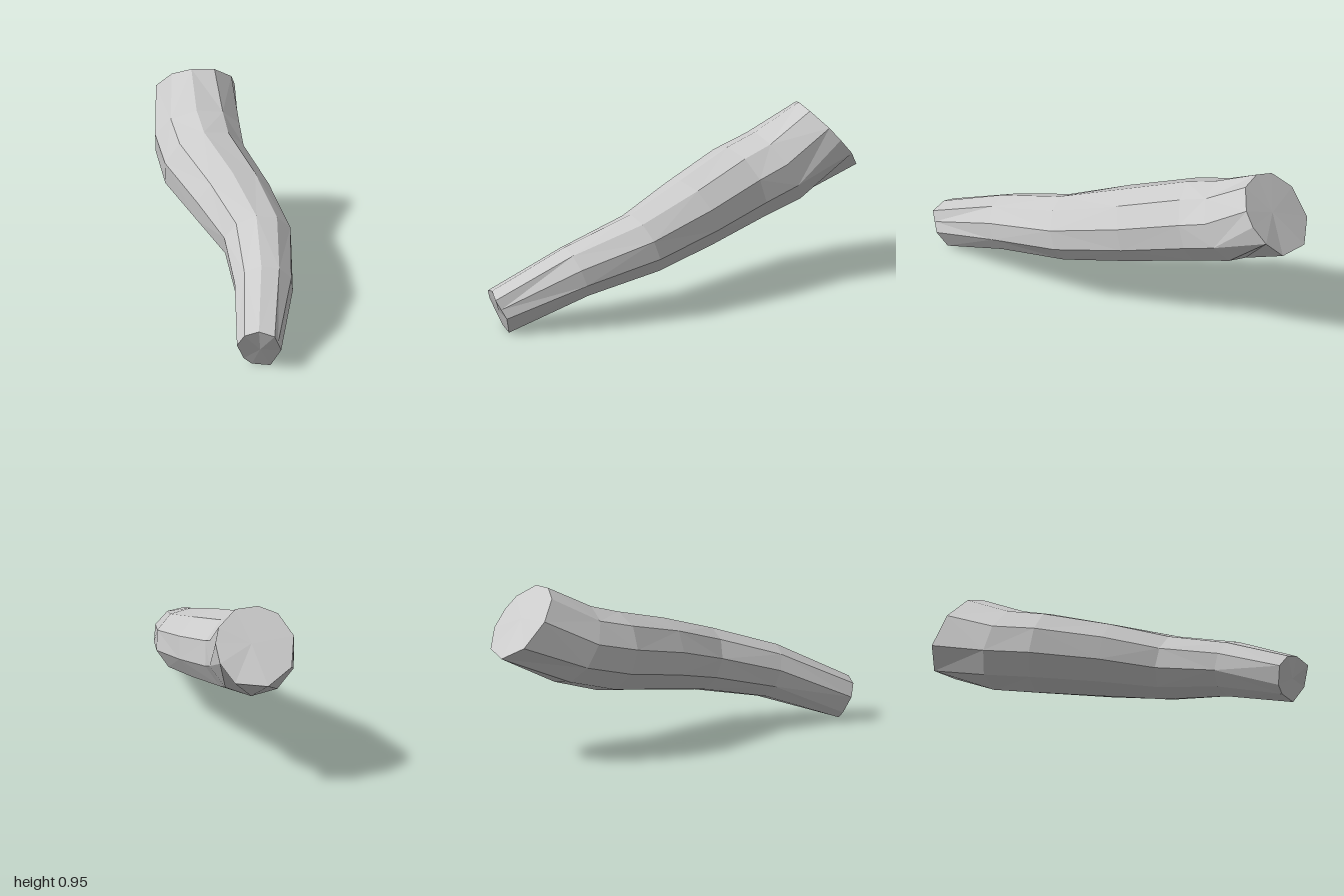
import * as THREE from 'three';

const SIDES = 10;
const v = (p) => new THREE.Vector3(...p);

// Cut ends, listed from the top round towards +x
const narrowEnd = [
  [-0.555, 0.225, 0.94], [-0.495, 0.2, 1.0], [-0.465, 0.15, 0.99], [-0.435, 0.1, 0.98], [-0.46, 0, 0.92],
  [-0.5, 0.005, 0.89], [-0.54, 0.01, 0.86], [-0.58, 0.045, 0.84], [-0.63, 0.135, 0.845], [-0.615, 0.2, 0.89],
].map(v);
const wideEnd = [
  [0.32, 0.955, -0.73], [0.43, 0.945, -0.67], [0.55, 0.87, -0.675], [0.6, 0.8, -0.71], [0.625, 0.71, -0.78],
  [0.595, 0.615, -0.87], [0.46, 0.6, -0.985], [0.31, 0.68, -1.0], [0.23, 0.82, -0.92], [0.25, 0.92, -0.81],
].map(v);

// Stations along the bend: centre, direction, half width, half height
const stations = [
  { c: [-0.25, 0.29, 0.6], t: [0.54, 0.33, -0.77], w: 0.16, h: 0.15 },
  { c: [-0.035, 0.395, 0.28], t: [0.42, 0.3, -0.86], w: 0.19, h: 0.175 },
  { c: [0.06, 0.48, -0.05], t: [0.25, 0.23, -0.94], w: 0.22, h: 0.2 },
  { c: [0.145, 0.56, -0.4], t: [0.3, 0.25, -0.92], w: 0.235, h: 0.22 },
  { c: [0.25, 0.625, -0.59], t: [0.42, 0.45, -0.79], w: 0.24, h: 0.225 },
];

// Elliptical ring set square to the direction of the limb
function ring({ c, t, w, h }) {
  const dir = v(t).normalize();
  const side = new THREE.Vector3().crossVectors(dir, new THREE.Vector3(0, 1, 0)).normalize();
  const up = new THREE.Vector3().crossVectors(side, dir);
  return Array.from({ length: SIDES }, (_, k) => {
    const a = (k / SIDES) * Math.PI * 2 - 0.1;
    return v(c).addScaledVector(side, w * Math.sin(a)).addScaledVector(up, h * Math.cos(a));
  });
}

// Separate corners per triangle keep every facet flat
function facets(points) {
  const g = new THREE.BufferGeometry().setFromPoints(points);
  g.computeVertexNormals();
  return g;
}

function capPoints(loop, flip) {
  const centre = loop.reduce((s, p) => s.add(p), new THREE.Vector3()).divideScalar(loop.length);
  return loop.flatMap((p, k) => {
    const q = loop[(k + 1) % loop.length];
    return flip ? [centre, q, p] : [centre, p, q];
  });
}

export function createModel() {
  const grey = new THREE.MeshStandardMaterial({ color: 0xcccccc, flatShading: true });
  grey.name = 'plain grey';
  const group = new THREE.Group();
  group.name = 'bentLimb';
  const add = (name, points) => {
    const mesh = new THREE.Mesh(facets(points), grey);
    mesh.name = name;
    group.add(mesh);
  };

  // Tapered wall, with diagonals alternating between neighbouring faces
  const rings = [narrowEnd, ...stations.map(ring), wideEnd];
  const wall = [];
  for (let i = 0; i < rings.length - 1; i++) {
    for (let k = 0; k < SIDES; k++) {
      const n = (k + 1) % SIDES;
      const a = rings[i][k], b = rings[i][n], c = rings[i + 1][k], d = rings[i + 1][n];
      if ((i + k) % 2) wall.push(a, b, c, b, d, c);
      else wall.push(a, b, d, a, d, c);
    }
  }
  add('limbWall', wall);

  // Cut faces
  add('narrowCap', capPoints(narrowEnd, true));
  add('wideCap', capPoints(wideEnd, false));
  return group;
}
